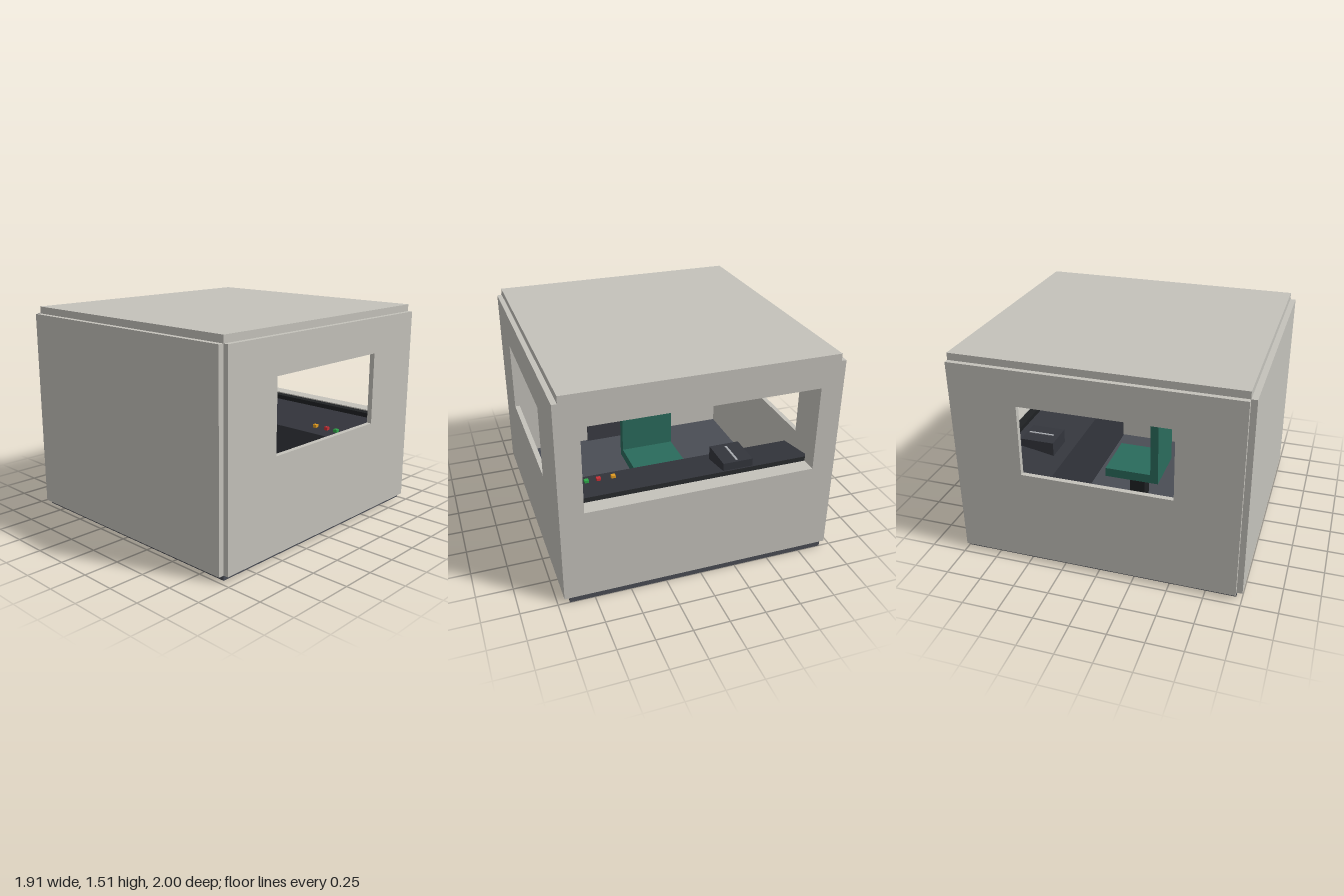
import * as THREE from 'three';

const paint = (color) => new THREE.MeshStandardMaterial({ color, flatShading: true });
const wallMat = paint(0xc4c2bb), floorMat = paint(0x4a4d55), consoleMat = paint(0x33353c);
const blackMat = paint(0x1f2123), seatMat = paint(0x2a6b5c), doorMat = paint(0x3a3c44);

// Box given by its limits on each axis
function box(name, mat, [x0, x1], [y0, y1], [z0, z1]) {
  const mesh = new THREE.Mesh(new THREE.BoxGeometry(x1 - x0, y1 - y0, z1 - z0), mat);
  mesh.position.set((x0 + x1) / 2, (y0 + y1) / 2, (z0 + z1) / 2);
  mesh.name = name;
  return mesh;
}

function rect(PathType, [u0, u1], [v0, v1]) {
  return new PathType([[u0, v0], [u1, v0], [u1, v1], [u0, v1]].map(([u, v]) => new THREE.Vector2(u, v)));
}

// Upright wall with one rectangular opening, extruded along +z
function openWall(u, v, holeU, holeV, depth) {
  const shape = rect(THREE.Shape, u, v);
  shape.holes.push(rect(THREE.Path, holeU, holeV));
  return new THREE.ExtrudeGeometry(shape, { depth, bevelEnabled: false });
}

export function createModel() {
  const cab = new THREE.Group();
  cab.name = 'driverCab';
  const wallY = [0.035, 1.46];

  // Shell: floor, roof, rear wall
  cab.add(
    box('floor', floorMat, [-0.92, 0.92], [0, 0.035], [-1, 0.96]),
    box('roof', wallMat, [-0.92, 0.92], [1.46, 1.51], [-1, 0.96]),
    box('rearWall', wallMat, [-0.92, 0.92], wallY, [0.96, 1])
  );

  // Windscreen wall, thicker than the others
  const windscreen = new THREE.Mesh(openWall([-0.92, 0.92], wallY, [-0.795, 0.795], [0.68, 1.285], 0.11), wallMat);
  windscreen.position.z = -1;
  windscreen.name = 'windscreenWall';
  cab.add(windscreen);

  // Side walls with windows; the shape's u axis runs along -z
  for (const [name, x] of [['leftWall', 0.92], ['rightWall', -0.955]]) {
    const side = new THREE.Mesh(openWall([-0.96, 1], wallY, [-0.525, 0.525], [0.7, 1.21], 0.035), wallMat);
    side.rotation.y = Math.PI / 2;
    side.position.x = x;
    side.name = name;
    cab.add(side);
  }

  // Control desk with a top sloping toward the driver
  const profile = [[0.89, 0.035], [0.89, 0.65], [0.415, 0.56], [0.415, 0.035]];
  const desk = new THREE.Mesh(
    new THREE.ExtrudeGeometry(new THREE.Shape(profile.map(([u, v]) => new THREE.Vector2(u, v))), { depth: 1.8, bevelEnabled: false }),
    consoleMat
  );
  desk.rotation.y = Math.PI / 2;
  desk.position.x = -0.9;
  desk.name = 'controlDesk';
  cab.add(desk, box('deskLedge', blackMat, [-0.9, 0.9], [0.6, 0.672], [-0.89, -0.83]));

  // Push buttons
  for (const [x, color] of [[0.66, 0x2fa84a], [0.575, 0xc62f35], [0.47, 0xe09a20]]) {
    cab.add(box('button', paint(color), [x - 0.015, x + 0.015], [0.565, 0.6], [-0.53, -0.5]));
  }

  // Throttle box with its slot
  cab.add(
    box('throttleBox', consoleMat, [-0.47, -0.25], [0.55, 0.68], [-0.75, -0.5]),
    box('throttleSlot', paint(0xa8abb0), [-0.365, -0.35], [0.67, 0.685], [-0.73, -0.54])
  );

  // Blind housing and sun visor above the windscreen
  cab.add(
    box('blindHousing', blackMat, [-0.9, 0.9], [1.285, 1.33], [-0.89, -0.8]),
    box('sunVisor', blackMat, [-0.555, 0.555], [1.255, 1.275], [-0.86, -0.72])
  );

  // Driver's seat
  const seat = new THREE.Group();
  seat.name = 'seat';
  seat.add(
    box('seatCushion', seatMat, [-0.2, 0.2], [0.3, 0.37], [-0.2, 0.215]),
    box('seatBack', seatMat, [-0.2, 0.2], [0.37, 0.79], [0.155, 0.215]),
    box('seatPost', blackMat, [-0.06, 0.06], [0.035, 0.3], [-0.05, 0.07])
  );
  cab.add(seat);

  // Door on the inside of the rear wall
  cab.add(box('rearDoor', doorMat, [-0.29, 0.29], [0.035, 1.15], [0.945, 0.96]));

  return cab;
}
